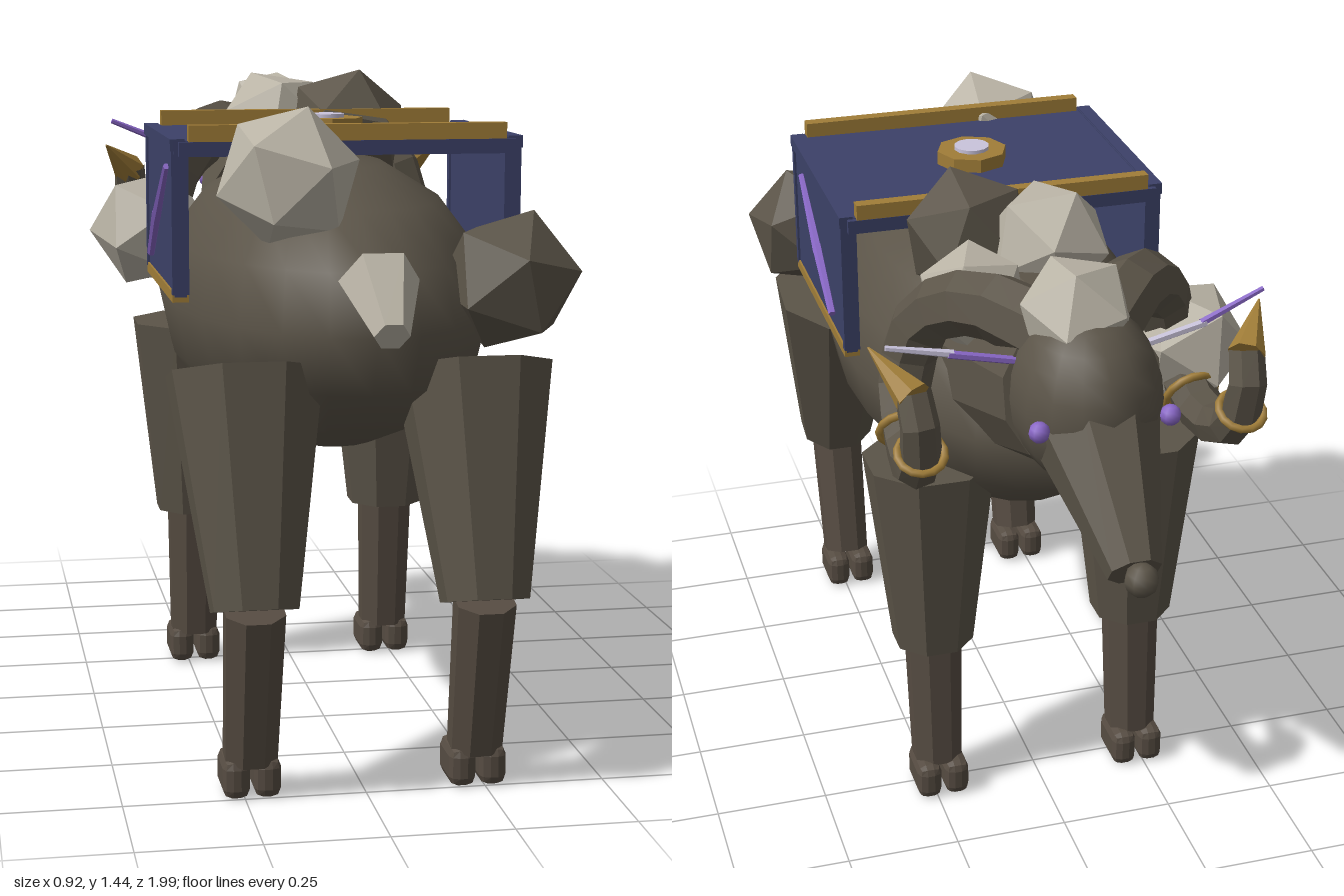
import * as THREE from 'three';
import { RoundedBoxGeometry } from 'three/addons/geometries/RoundedBoxGeometry.js';

const V = (x, y, z) => new THREE.Vector3(x, y, z);

export function createModel() {
  const model = new THREE.Group();
  const mat = (name, color) => {
    const m = new THREE.MeshStandardMaterial({ color });
    m.name = name;
    return m;
  };
  const hide = mat('darkHide', 0x5b5448);
  const shinHide = mat('shinHide', 0x564c42);
  const stone = mat('paleStone', 0xb9b3a5);
  const blue = mat('blueCloth', 0x3c4168);
  const gold = mat('gold', 0xa07d38);
  const purple = mat('purple', 0x8a68c8);
  const pale = mat('paleCrystal', 0xcac4dc);

  const add = (name, geometry, material, pos) => {
    const mesh = new THREE.Mesh(geometry, material);
    mesh.name = name;
    if (pos) mesh.position.copy(pos);
    model.add(mesh);
    return mesh;
  };
  // Faceted geometry with hard edges
  const flat = (g) => {
    const f = g.index ? g.toNonIndexed() : g;
    f.computeVertexNormals();
    return f;
  };
  const box = (name, w, h, d, material, x, y, z) =>
    add(name, new THREE.BoxGeometry(w, h, d), material, V(x, y, z));
  // Tapered faceted limb from a to b
  const limb = (name, a, b, ra, rb, material, sides = 8) => {
    const dir = b.clone().sub(a);
    const g = new THREE.CylinderGeometry(rb, ra, dir.length(), sides, 1, false, Math.PI / sides);
    const mesh = add(name, flat(g), material, a.clone().add(b).multiplyScalar(0.5));
    mesh.quaternion.setFromUnitVectors(V(0, 1, 0), dir.normalize());
    return mesh;
  };
  const ellipsoid = (name, rx, ry, rz, material, pos, w = 24, h = 16) =>
    add(name, new THREE.SphereGeometry(1, w, h).scale(rx, ry, rz), material, pos);

  // Body, neck and head (the head points to -z)
  ellipsoid('body', 0.35, 0.32, 0.67, hide, V(0, 0.955, 0.18), 24, 8);
  limb('neck', V(0, 1.06, -0.25), V(0, 1.14, -0.58), 0.22, 0.17, hide, 12);
  ellipsoid('head', 0.155, 0.19, 0.19, hide, V(0, 1.14, -0.59), 16, 12);
  limb('snout', V(0, 1.12, -0.64), V(0, 0.91, -0.92), 0.14, 0.055, hide);
  ellipsoid('nose', 0.035, 0.035, 0.035, hide, V(0, 0.915, -0.96), 8, 6);
  limb('tail', V(0, 1.07, 0.85), V(0, 0.98, 0.98), 0.08, 0.035, stone, 6);

  // Rock growths: position, radius, material, turn
  const rocks = [
    [-0.14, 1.25, 0.62, 0.15, stone, 0.4], [0.31, 1.04, 0.65, 0.15, hide, 1.1],
    [-0.33, 1.06, -0.27, 0.145, stone, 0.2], [-0.04, 1.3, -0.2, 0.14, stone, 0.8],
    [0.11, 1.3, -0.1, 0.145, hide, 0.5], [0.15, 1.24, -0.3, 0.12, stone, 1.4],
    [0.01, 1.3, -0.56, 0.125, stone, 2.0],
  ];
  rocks.forEach(([x, y, z, r, m, turn]) => {
    const rock = add('rockGrowth', new THREE.IcosahedronGeometry(r, 0), m, V(x, y, z));
    rock.rotation.set(turn, turn * 1.7, turn * 0.6);
  });

  // Canopy roof and trims
  box('canopyRoof', 0.72, 0.03, 0.53, blue, 0, 1.303, 0.262);
  [0.0, 0.525].forEach((z) => {
    box('roofTrim', 0.66, 0.035, 0.028, gold, 0, 1.333, z);
    box('roofBeam', 0.7, 0.03, 0.03, blue, 0, 1.302, z);
  });
  add('medallion', flat(new THREE.CylinderGeometry(0.08, 0.08, 0.03, 8)), gold, V(0, 1.333, 0.26));
  add('medallionStone', new THREE.CylinderGeometry(0.04, 0.04, 0.01, 12), pale, V(0, 1.351, 0.26));

  // Tapered curling horn
  const hornGeometry = (curve, r0, r1, steps, sides) => {
    const g = new THREE.TubeGeometry(curve, steps, 1, sides, false);
    const p = g.attributes.position, v = V(0, 0, 0);
    for (let i = 0; i <= steps; i++) {
      const c = curve.getPointAt(i / steps), r = r0 + (r1 - r0) * (i / steps);
      for (let j = 0; j <= sides; j++) {
        const k = i * (sides + 1) + j;
        v.fromBufferAttribute(p, k).sub(c).multiplyScalar(r).add(c);
        p.setXYZ(k, v.x, v.y, v.z);
      }
    }
    return flat(g);
  };

  for (const s of [1, -1]) {
    const side = s > 0 ? 'left' : 'right';
    // Canopy side panels
    box(side + 'Panel', 0.025, 0.32, 0.525, blue, s * 0.347, 1.16, 0.262);
    box(side + 'PanelTrim', 0.034, 0.022, 0.52, gold, s * 0.347, 1.0, 0.262);
    box(side + 'TopRail', 0.03, 0.025, 0.53, blue, s * 0.352, 1.31, 0.262);
    [0.008, 0.517].forEach((z) => box(side + 'PanelPost', 0.035, 0.31, 0.018, blue, s * 0.347, 1.16, z));
    limb(side + 'RuneUpper', V(s * 0.364, 1.26, 0.425), V(s * 0.366, 1.14, 0.25), 0.007, 0.012, purple, 6);
    limb(side + 'RuneLower', V(s * 0.366, 1.15, 0.26), V(s * 0.366, 1.045, 0.115), 0.012, 0.009, purple, 6);

    // Eyes
    ellipsoid(side + 'Eye', 0.022, 0.022, 0.022, purple, V(s * 0.135, 1.135, -0.725), 8, 6);

    // Horns with rings and gilded tips
    const curve = new THREE.CatmullRomCurve3([
      V(s * 0.05, 1.25, -0.54), V(s * 0.17, 1.275, -0.4), V(s * 0.26, 1.2, -0.3),
      V(s * 0.3, 1.06, -0.29), V(s * 0.32, 0.97, -0.41), V(s * 0.335, 0.985, -0.53),
      V(s * 0.342, 1.09, -0.608), V(s * 0.35, 1.18, -0.575),
    ]);
    add(side + 'Horn', hornGeometry(curve, 0.078, 0.038, 14, 7), hide);
    [0.6, 0.86].forEach((t) => {
      const ring = add(side + 'HornRing', new THREE.TorusGeometry(0.082 - 0.04 * t, 0.009, 6, 14), gold, curve.getPointAt(t));
      ring.quaternion.setFromUnitVectors(V(0, 0, 1), curve.getTangentAt(t));
    });
    limb(side + 'HornTip', V(s * 0.35, 1.17, -0.58), V(s * 0.415, 1.24, -0.475), 0.04, 0.002, gold, 7);

    // Crystal rods beside the brow
    const tipY = s > 0 ? 1.265 : 1.295;
    limb(side + 'InnerRod', V(s * 0.12, 1.21, -0.56), V(s * 0.27, 1.24, -0.55), 0.009, 0.009, s > 0 ? purple : pale, 6);
    limb(side + 'OuterRod', V(s * 0.26, 1.24, -0.55), V(s * 0.395, tipY, -0.54), 0.009, 0.006, s > 0 ? pale : purple, 6);

    // Legs: name, thigh top, thigh bottom, shin bottom, hoof z, thigh radius
    const x = s * 0.235;
    const legs = [
      ['Hind', V(x, 0.865, 0.65), V(x, 0.405, 0.785), V(x, 0.08, 0.715), 0.7, 0.165],
      ['Front', V(x, 0.842, -0.23), V(x, 0.385, -0.238), V(x, 0.075, -0.258), -0.272, 0.147],
    ];
    legs.forEach(([name, top, knee, ankle, hoofZ, r]) => {
      limb(side + name + 'Thigh', top, knee, r, 0.092, hide);
      limb(side + name + 'Shin', knee, ankle, 0.065, 0.058, shinHide);
      [-0.032, 0.032].forEach((dx) =>
        add(side + name + 'Hoof', flat(new RoundedBoxGeometry(0.056, 0.084, 0.122, 1, 0.02)), shinHide, V(x + dx, 0.042, hoofZ)));
    });
  }
  return model;
}
